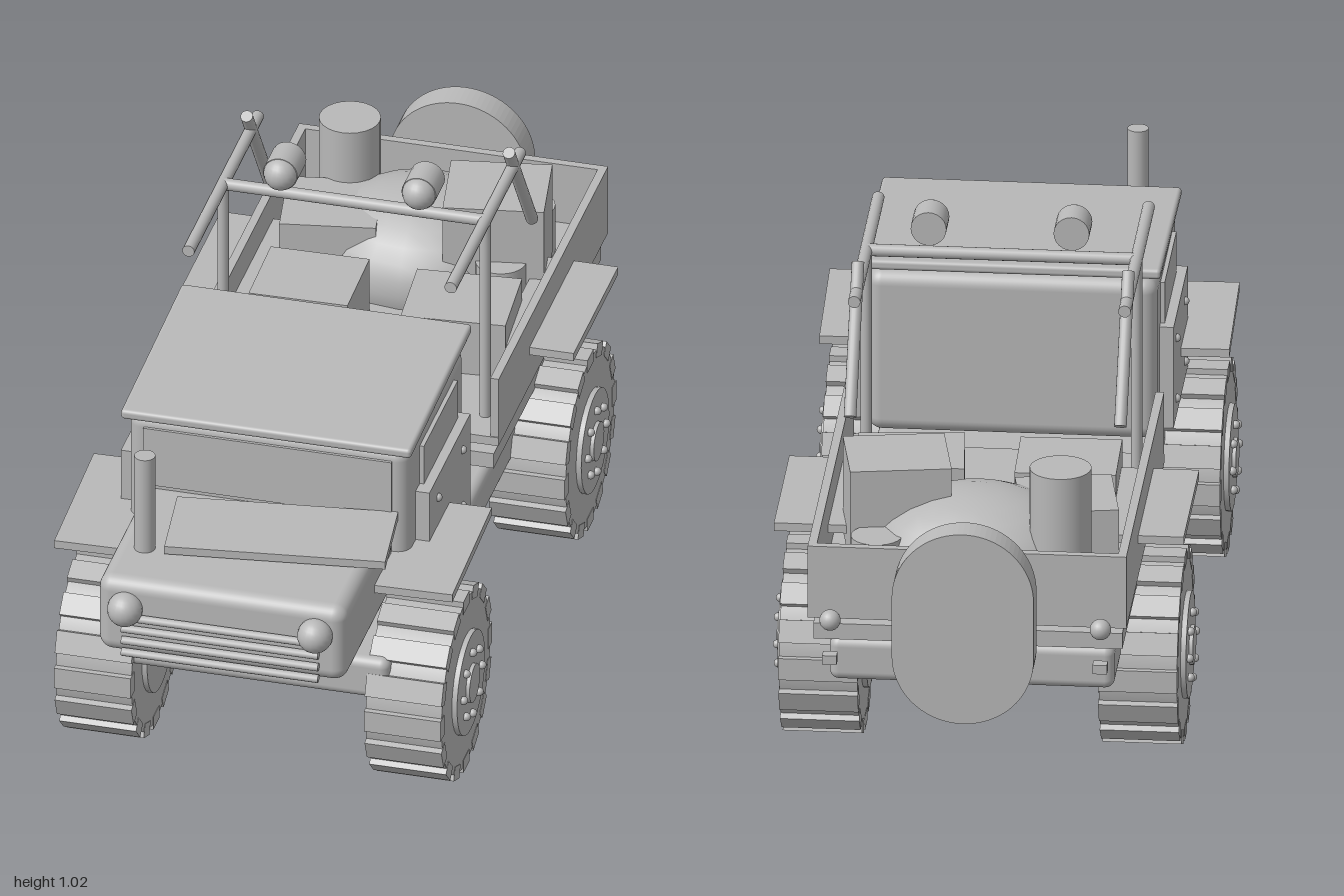
import * as THREE from 'three';
import { RoundedBoxGeometry } from 'three/addons/geometries/RoundedBoxGeometry.js';

const paint = new THREE.MeshStandardMaterial({ color: 0xb8b8b8 });
paint.name = 'grey';

export function createModel() {
  const model = new THREE.Group();
  model.name = 'utilityTruck';

  const add = (name, geo, x, y, z, parent = model) => {
    const m = new THREE.Mesh(geo, paint);
    m.name = name;
    m.position.set(x, y, z);
    parent.add(m);
    return m;
  };
  // Box given by its extents
  const box = (name, x0, x1, y0, y1, z0, z1, parent) =>
    add(name, new THREE.BoxGeometry(x1 - x0, y1 - y0, z1 - z0),
      (x0 + x1) / 2, (y0 + y1) / 2, (z0 + z1) / 2, parent);
  const rounded = (name, x0, x1, y0, y1, z0, z1, r) =>
    add(name, new RoundedBoxGeometry(x1 - x0, y1 - y0, z1 - z0, 4, r),
      (x0 + x1) / 2, (y0 + y1) / 2, (z0 + z1) / 2);
  const ball = (name, r, x, y, z, parent) =>
    add(name, new THREE.SphereGeometry(r, 20, 14), x, y, z, parent);
  // Round bar between two points
  const bar = (name, a, b, r, sides = 16, parent = model) => {
    const p = new THREE.Vector3(...a), q = new THREE.Vector3(...b);
    const d = q.clone().sub(p);
    const m = add(name, new THREE.CylinderGeometry(r, r, d.length(), sides), 0, 0, 0, parent);
    m.position.copy(p).add(q).multiplyScalar(0.5);
    m.quaternion.setFromUnitVectors(new THREE.Vector3(0, 1, 0), d.normalize());
    return m;
  };

  // Chassis and axles
  rounded('chassis', -0.295, 0.295, 0.245, 0.34, -0.795, 0.72, 0.02);

  // Wheels: tyre, lugs, hub, bolts
  for (const z of [0.54, -0.45]) {
    bar('axle', [-0.26, 0.21, z], [0.26, 0.21, z], 0.026);
    for (const s of [-1, 1]) {
      const wheel = new THREE.Group();
      wheel.name = 'wheel';
      wheel.position.set(s * 0.331, 0.207, z);
      model.add(wheel);
      bar('tyre', [-0.081, 0, 0], [0.081, 0, 0], 0.195, 40, wheel);
      bar('rim', [-0.092, 0, 0], [0.092, 0, 0], 0.112, 32, wheel);
      bar('hubCap', [0, 0, 0], [s * 0.1, 0, 0], 0.042, 20, wheel);
      for (let i = 0; i < 16; i++) {
        const a = (i / 16) * Math.PI * 2;
        const lug = box('lug', -0.082, 0.082, -0.024, 0.024, -0.015, 0.015, wheel);
        lug.position.set(0, Math.cos(a) * 0.191, Math.sin(a) * 0.191);
        lug.rotation.x = a + Math.PI / 2;
      }
      for (let i = 0; i < 8; i++) {
        const a = (i / 8) * Math.PI * 2;
        ball('wheelBolt', 0.009, s * 0.096, Math.cos(a) * 0.073, Math.sin(a) * 0.073, wheel);
      }
    }
  }

  // Cab, windows, doors, tilted roof
  rounded('cab', -0.3, 0.3, 0.41, 0.768, 0.13, 0.58, 0.03);
  box('windscreen', -0.265, 0.265, 0.605, 0.74, 0.577, 0.586);
  const roof = rounded('roof', -0.31, 0.31, 0.772, 0.794, 0.11, 0.6, 0.008);
  roof.rotation.x = 0.04;
  for (const s of [-1, 1]) {
    add('sideWindow', new THREE.BoxGeometry(0.012, 0.1, 0.27), s * 0.303, 0.68, 0.355);
    add('door', new THREE.BoxGeometry(0.035, 0.225, 0.325), s * 0.312, 0.527, 0.36);
    for (const z of [0.455, 0.26]) {
      for (const y of [0.59, 0.455]) ball('doorBolt', 0.009, s * 0.33, y, z);
    }
  }

  // Bonnet, loose top panel, grille, headlamps, exhaust stack
  rounded('bonnet', -0.265, 0.265, 0.42, 0.597, 0.56, 0.955, 0.03);
  const panel = add('bonnetPanel', new THREE.BoxGeometry(0.46, 0.018, 0.2), 0.063, 0.612, 0.71);
  panel.rotation.y = 0.128;
  for (const y of [0.515, 0.487, 0.459, 0.431]) {
    bar('grilleBar', [-0.21, y, 0.962], [0.21, y, 0.962], 0.009, 10);
  }
  for (const s of [-1, 1]) ball('headlamp', 0.037, s * 0.203, 0.535, 0.963);
  bar('exhaustStack', [-0.2, 0.58, 0.815], [-0.2, 0.82, 0.815], 0.022, 20);

  // Mudguards
  for (const s of [-1, 1]) {
    for (const z of [0.54, -0.45]) {
      const guard = add('mudguard', new THREE.BoxGeometry(0.165, 0.018, 0.355), s * 0.342, 0.514, z);
      guard.rotation.y = z > 0 ? 0.03 : 0;
    }
  }

  // Cargo bed
  box('bedSupport', -0.32, 0.32, 0.375, 0.41, -0.88, -0.025);
  box('bedFloor', -0.33, 0.33, 0.43, 0.45, -0.895, -0.025);
  box('tailgate', -0.33, 0.33, 0.43, 0.59, -0.9, -0.882);
  for (const s of [-1, 1]) {
    add('bedSide', new THREE.BoxGeometry(0.018, 0.16, 0.865), s * 0.321, 0.51, -0.46);
    ball('tailLamp', 0.022, s * 0.28, 0.443, -0.94);
    add('rearBracket', new THREE.BoxGeometry(0.03, 0.02, 0.025), s * 0.28, 0.36, -0.945);
  }

  // Load: covered heap, crates, drums, seats
  const heap = ball('coveredHeap', 1, 0, 0.48, -0.66);
  heap.scale.set(0.235, 0.15, 0.202);
  const crates = [
    ['crate', 0.17, 0.58, -0.615, 0.21, 0.21, 0.19, 0.17],
    ['crate', -0.18, 0.52, -0.6, 0.2, 0.16, 0.19, 0.17],
    ['seat', -0.16, 0.505, -0.345, 0.21, 0.14, 0.19, 0.02],
    ['seat', 0.165, 0.505, -0.345, 0.22, 0.14, 0.19, 0.08],
  ];
  for (const [name, x, y, z, w, h, d, turn] of crates) {
    add(name, new THREE.BoxGeometry(w, h, d), x, y, z).rotation.y = turn;
  }
  bar('drum', [-0.18, 0.45, -0.745], [-0.18, 0.72, -0.745], 0.064, 24);
  for (const z of [-0.76, -0.53]) bar('lowDrum', [0.2, 0.45, z], [0.2, 0.56, z], 0.053, 24);

  // Roll frame
  const zp = -0.107;
  for (const s of [-1, 1]) {
    const x = s * 0.28;
    bar('post', [x, 0.44, zp], [x, 0.92, zp], 0.012);
    bar('topRail', [x, 0.92, 0.17], [x, 0.92, -0.385], 0.013);
    bar('brace', [x, 0.972, -0.295], [x, 0.703, -0.48], 0.013);

    // Roof spotlights
    bar('spotlightHousing', [s * 0.148, 0.985, -0.14], [s * 0.148, 0.985, -0.07], 0.037, 24);
    ball('spotlightLens', 0.036, s * 0.148, 0.985, -0.075);
  }
  bar('crossBar', [-0.28, 0.92, zp], [0.28, 0.92, zp], 0.013);

  // Spare wheel: flat slab with round ends
  const r = 0.147, h = 0.065;
  const oval = new THREE.Shape();
  oval.absarc(0, h, r, 0, Math.PI, false);
  oval.absarc(0, -h, r, Math.PI, Math.PI * 2, false);
  oval.closePath();
  add('spareWheel', new THREE.ExtrudeGeometry(oval, { depth: 0.066, bevelEnabled: false, curveSegments: 20 }),
    0, 0.458, -1);

  return model;
}
